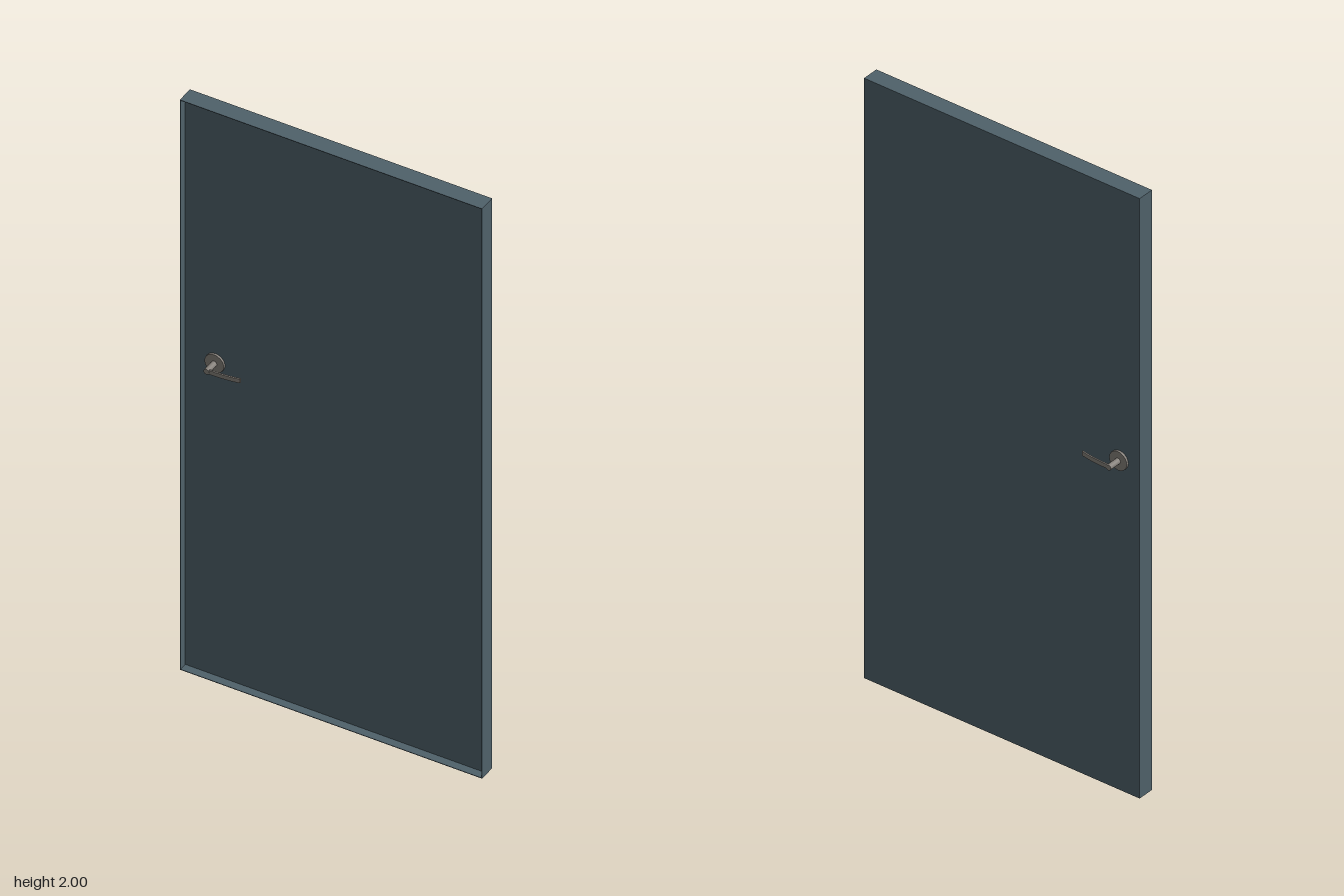
import * as THREE from 'three';

const slate = new THREE.MeshStandardMaterial({ name: 'slate paint', color: 0x4f616a });
const metal = new THREE.MeshStandardMaterial({ name: 'brushed metal', color: 0x85807a });

const WIDTH = 0.972, HEIGHT = 2, BACK = -0.016, FACE = 0.013, FRONT = 0.039, RIM = 0.002;
const HANDLE_Y = 1.1;

function add(parent, name, geometry, material, x = 0, y = 0, z = 0) {
  const mesh = new THREE.Mesh(geometry, material);
  mesh.name = name;
  mesh.position.set(x, y, z);
  parent.add(mesh);
  return mesh;
}

// Handle pointing out along +z, with its lever reaching toward +x
function createHandle(name) {
  const handle = new THREE.Group();
  handle.name = name;

  const disc = new THREE.CylinderGeometry(0.031, 0.031, 0.007, 20).rotateX(Math.PI / 2);
  add(handle, 'rosette', disc, metal, 0, 0, 0.0035);

  const post = new THREE.CylinderGeometry(0.009, 0.009, 0.05, 20).rotateX(Math.PI / 2);
  add(handle, 'post', post, metal, 0, 0, 0.025);

  // Lever outline seen from above: a thin blade that bends back to the door
  const outline = new THREE.Shape();
  outline.moveTo(0, 0.043);
  outline.quadraticCurveTo(0.055, 0.044, 0.102, 0.034);
  outline.lineTo(0.102, 0.039);
  outline.quadraticCurveTo(0.055, 0.049, 0, 0.048);
  outline.closePath();
  const blade = new THREE.ExtrudeGeometry(outline, { depth: 0.014, bevelEnabled: false, curveSegments: 10 });
  blade.translate(0, 0, -0.007).rotateX(Math.PI / 2);
  add(handle, 'lever', blade, metal);
  return handle;
}

export function createModel() {
  const door = new THREE.Group();
  door.name = 'door';

  // Main leaf, its front set back inside a thin rim
  add(door, 'leaf', new THREE.BoxGeometry(WIDTH, HEIGHT, FACE - BACK), slate, 0, HEIGHT / 2, (FACE + BACK) / 2);

  const depth = FRONT - FACE, rimZ = (FRONT + FACE) / 2;
  for (const side of [-1, 1]) {
    add(door, side < 0 ? 'rightRim' : 'leftRim', new THREE.BoxGeometry(RIM, HEIGHT, depth), slate,
      side * (WIDTH - RIM) / 2, HEIGHT / 2, rimZ);
    add(door, side < 0 ? 'bottomRim' : 'topRim', new THREE.BoxGeometry(WIDTH - 2 * RIM, RIM, depth), slate,
      0, HEIGHT / 2 + side * (HEIGHT - RIM) / 2, rimZ);
  }

  // Handles on both faces; the back one is turned over so both levers reach +x
  const front = createHandle('frontHandle');
  front.position.set(-0.387, HANDLE_Y, FACE);
  const back = createHandle('backHandle');
  back.position.set(-0.415, HANDLE_Y, BACK);
  back.rotation.x = Math.PI;
  door.add(front, back);
  return door;
}
